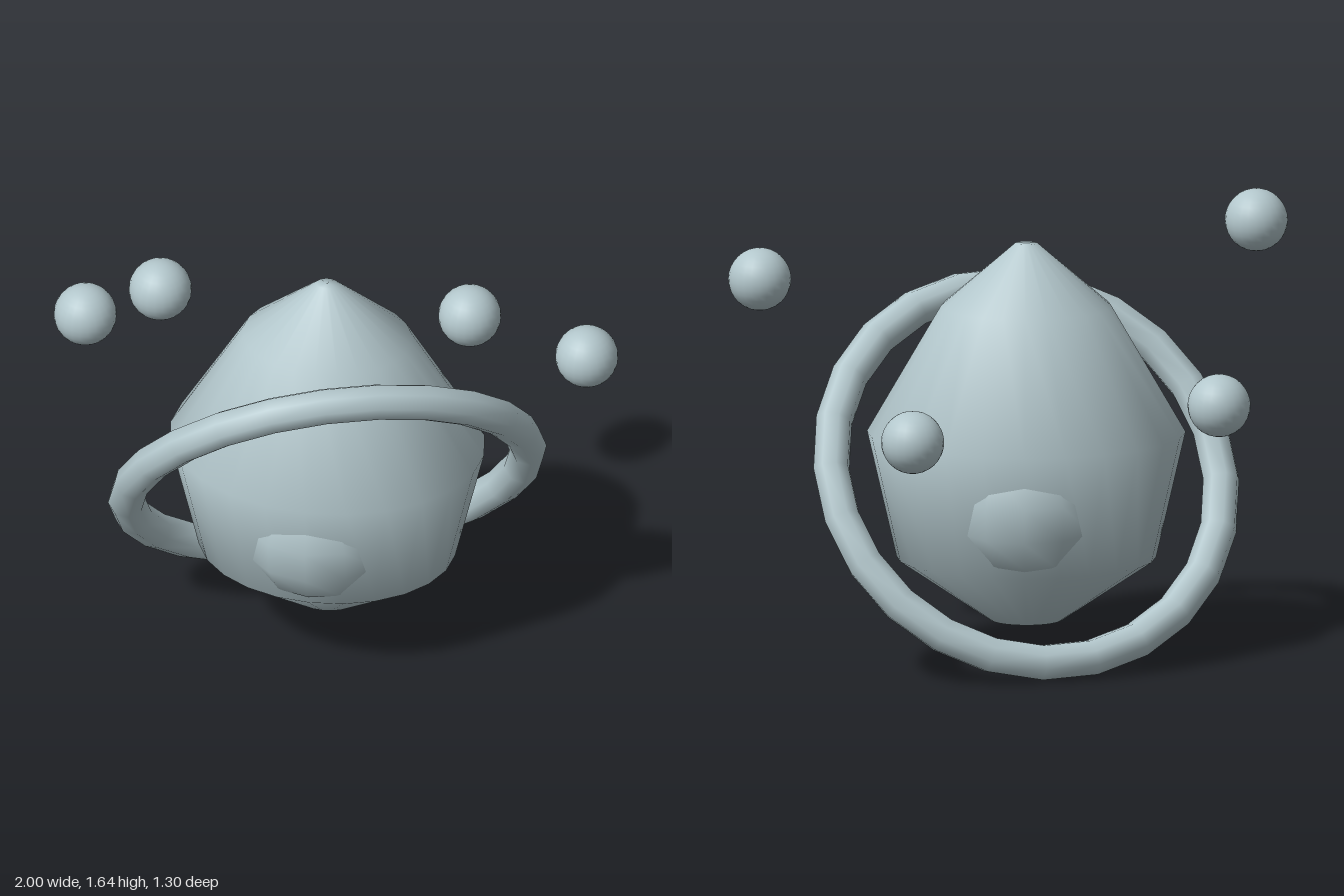
import * as THREE from 'three';

export function createModel() {
  const model = new THREE.Group();
  const stone = new THREE.MeshStandardMaterial({ color: 0xb3c7cc });
  stone.name = 'paleBlueGrey';

  const add = (name, geometry, parent) => {
    const mesh = new THREE.Mesh(geometry, stone);
    mesh.name = name;
    parent.add(mesh);
    return mesh;
  };

  // Drop-shaped body, squashed front to back
  const body = new THREE.Group();
  body.name = 'body';
  body.position.set(-0.07, 0, 0.135);
  body.scale.z = 0.8;
  model.add(body);
  const profile = [
    [0, 0.14], [0.13, 0.14], [0.465, 0.37], [0.57, 0.83], [0.305, 1.29], [0.04, 1.52], [0, 1.52],
  ].map(([r, y]) => new THREE.Vector2(r, y));
  add('shell', new THREE.LatheGeometry(profile, 24), body);

  // Shallow bumps on the front and back
  for (const side of [1, -1]) {
    const bump = add(side > 0 ? 'frontBump' : 'backBump', new THREE.SphereGeometry(0.285, 12, 7), body);
    bump.position.set(0, 0.61, side * 0.287);
    bump.rotation.x = side * 0.12;
  }

  // Tilted ring around the body
  const ring = add('ring', new THREE.TorusGeometry(0.725, 0.067, 8, 24), model);
  ring.position.set(-0.07, 0.672, 0.135);
  ring.quaternion.setFromUnitVectors(
    new THREE.Vector3(0, 0, 1),
    new THREE.Vector3(0.275, -0.553, 0.785).normalize(),
  );

  // Floating orbs
  const orbs = [[-0.888, 1.53, 0.48], [0.885, 1.37, 0.2], [-0.767, 1.04, -0.365], [0.327, 0.94, -0.537]];
  orbs.forEach((p, i) => {
    add(`orb${i + 1}`, new THREE.SphereGeometry(0.113, 24, 16), model).position.set(...p);
  });

  return model;
}
